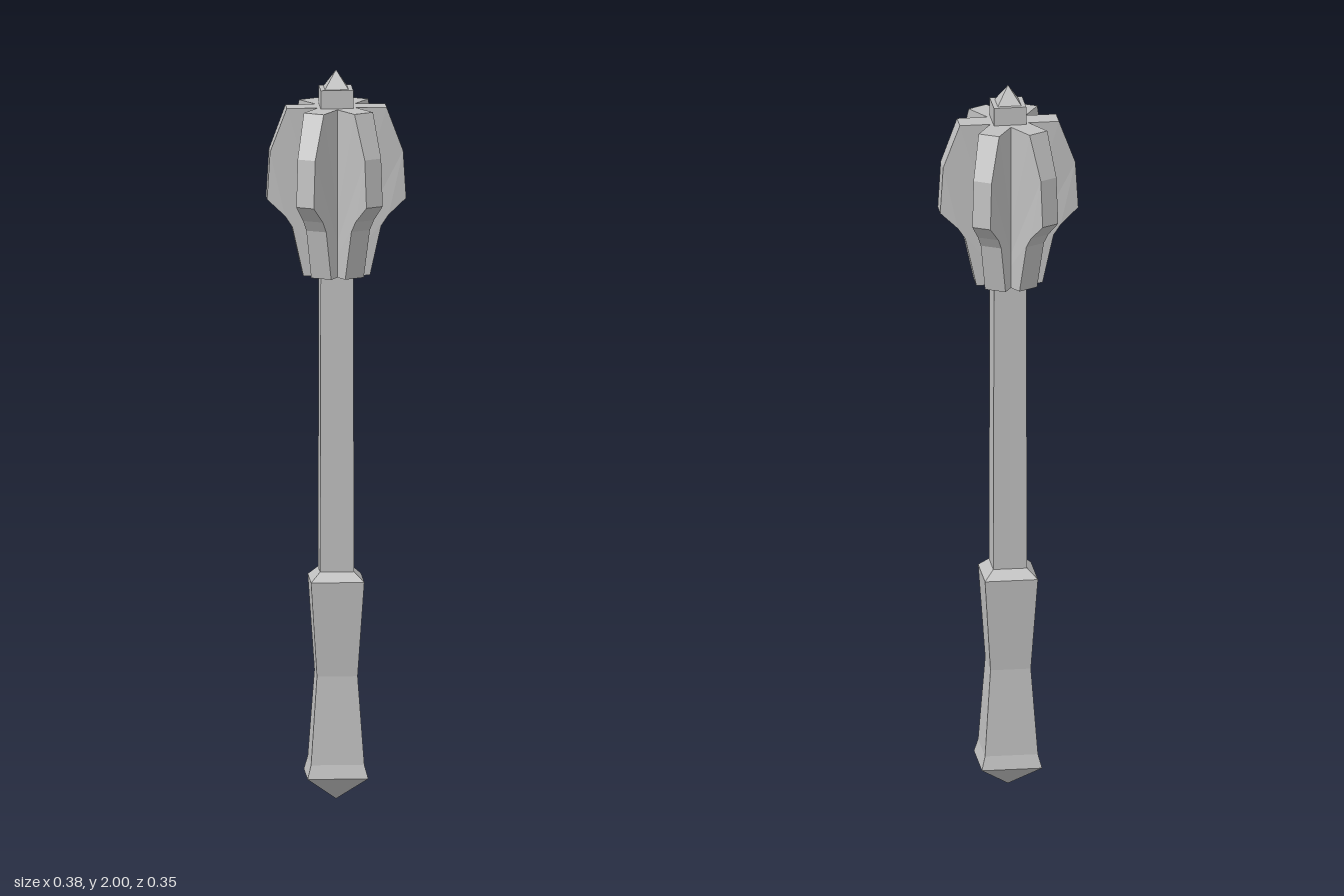
import * as THREE from 'three';

const steel = new THREE.MeshStandardMaterial({ color: 0xc0c0c0 });
steel.name = 'steel';
steel.flatShading = true;

// Square-section solid from [half width, height] pairs, bottom to top
function squareTurned(name, profile) {
  const points = profile.map(([half, y]) => new THREE.Vector2(half * Math.SQRT2, y));
  const geometry = new THREE.LatheGeometry(points, 4, Math.PI / 4).toNonIndexed();
  geometry.computeVertexNormals();
  const mesh = new THREE.Mesh(geometry, steel);
  mesh.name = name;
  return mesh;
}

// Radial blade: extruded outline that thins slightly towards its outer edge
function flangeGeometry() {
  const outline = [
    [0, 1.44], [0.09, 1.44], [0.12, 1.575], [0.14, 1.605],
    [0.188, 1.65], [0.18, 1.78], [0.135, 1.9], [0, 1.9],
  ].map(([r, y]) => new THREE.Vector2(r, y));
  const geometry = new THREE.ExtrudeGeometry(new THREE.Shape(outline), { depth: 0.06, bevelEnabled: false });
  geometry.translate(0, 0, -0.03);
  const pos = geometry.attributes.position;
  for (let i = 0; i < pos.count; i++) {
    if (pos.getX(i) > 0.15) pos.setZ(i, pos.getZ(i) * 0.88);
  }
  geometry.computeVertexNormals();
  return geometry;
}

export function createModel() {
  const mace = new THREE.Group();
  mace.name = 'mace';

  // Handle
  mace.add(squareTurned('pommel', [[0, 0], [0.082, 0.068], [0.072, 0.105]]));
  mace.add(squareTurned('grip', [[0.072, 0.105], [0.055, 0.345], [0.072, 0.605], [0.046, 0.63]]));
  mace.add(squareTurned('shaft', [[0.046, 0.63], [0.044, 1.44], [0.044, 1.95], [0.032, 1.95]]));
  mace.add(squareTurned('topSpike', [[0.032, 1.95], [0, 2]]));

  // Head with six blades
  const head = new THREE.Group();
  head.name = 'head';
  const blade = flangeGeometry();
  for (let i = 0; i < 6; i++) {
    const flange = new THREE.Mesh(blade, steel);
    flange.name = 'flange' + (i + 1);
    flange.rotation.y = (i * Math.PI) / 3;
    head.add(flange);
  }
  mace.add(head);

  mace.position.set(-0.002, 0, -0.002);
  const model = new THREE.Group();
  model.name = 'model';
  model.add(mace);
  return model;
}
